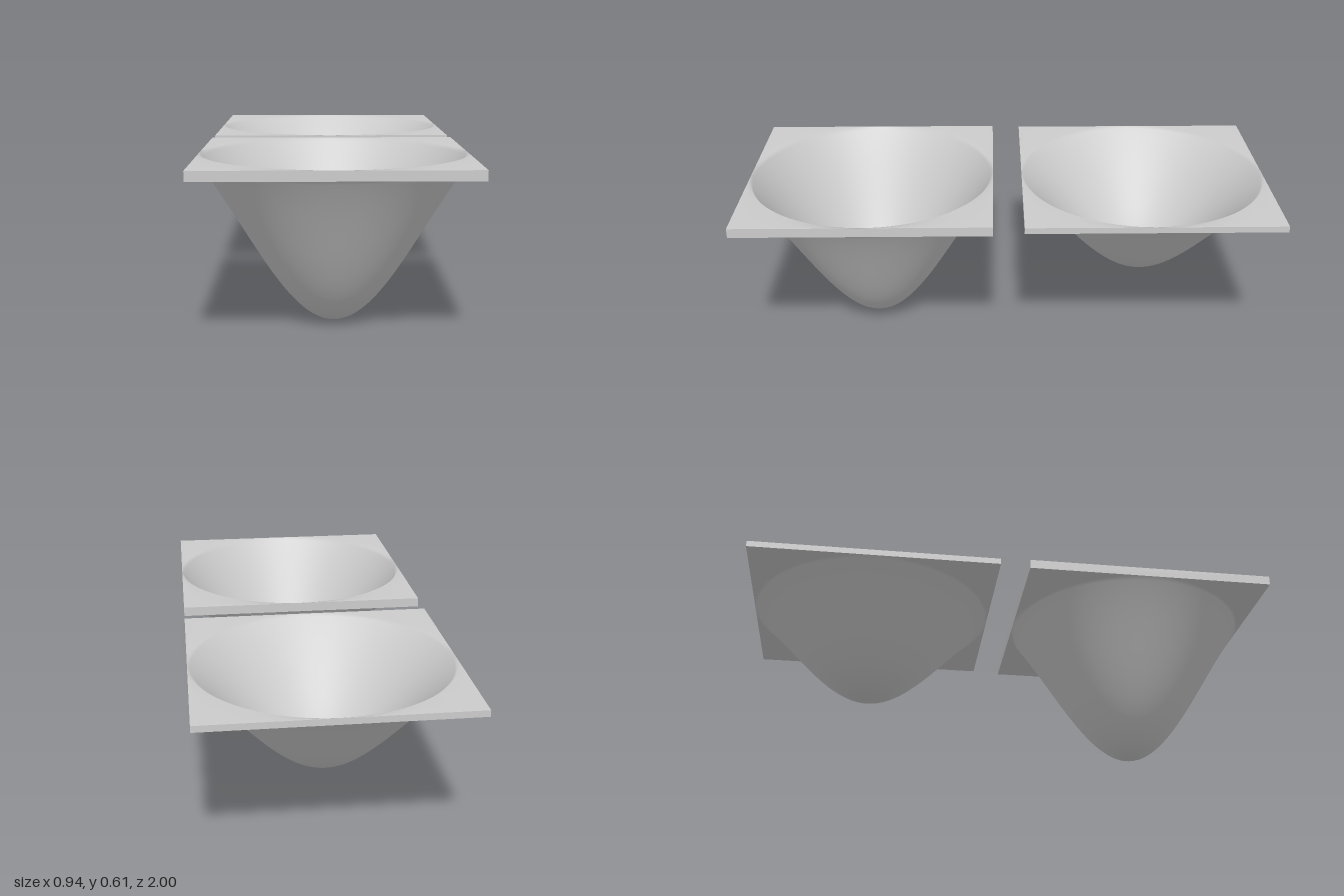
import * as THREE from 'three';

const HALF = 0.472;   // half width of a square plate
const RIM = 0.47;     // radius of the bowl mouth
const SIGMA = 0.33;   // width of the bell-shaped profile
const RINGS = 56, SEGMENTS = 128;

const bell = (r) => 1 - Math.exp(-(r * r) / (2 * SIGMA * SIGMA));

// Round bell-shaped dish whose outermost ring spreads out into a flat square
function dishSurface(depth, y0, facesUp) {
  const positions = [0, y0, 0], index = [];
  const id = (ring, s) => (ring === 0 ? 0 : 1 + (ring - 1) * SEGMENTS + (s % SEGMENTS));
  for (let ring = 1; ring <= RINGS + 1; ring++) {
    for (let s = 0; s < SEGMENTS; s++) {
      const a = (s / SEGMENTS) * Math.PI * 2, c = Math.cos(a), d = Math.sin(a);
      const onSquare = ring > RINGS;
      const r = onSquare ? HALF / Math.max(Math.abs(c), Math.abs(d)) : (RIM * ring) / RINGS;
      const y = y0 + depth * (bell(Math.min(r, RIM)) / bell(RIM));
      positions.push(r * c, y, r * d);
    }
  }
  const face = (a, b, c) => index.push(...(facesUp ? [a, b, c] : [a, c, b]));
  for (let ring = 0; ring <= RINGS; ring++) {
    for (let s = 0; s < SEGMENTS; s++) {
      const a = id(ring, s), b = id(ring, s + 1);
      const c = id(ring + 1, s), d = id(ring + 1, s + 1);
      face(a, d, c);
      if (ring > 0) face(a, b, d);
    }
  }
  const geometry = new THREE.BufferGeometry();
  geometry.setAttribute('position', new THREE.Float32BufferAttribute(positions, 3));
  geometry.setIndex(index);
  geometry.computeVertexNormals();
  return geometry;
}

// One sheet: hollow upper surface, bulging underside and thin square edge
function createDish(name, bottom, depth, thickness) {
  const smooth = new THREE.MeshStandardMaterial({ color: 0xcccccc });
  const flat = new THREE.MeshStandardMaterial({ color: 0xcccccc, flatShading: true });
  const group = new THREE.Group();
  group.name = name;
  const add = (part, geometry, material) => {
    const mesh = new THREE.Mesh(geometry, material);
    mesh.name = part;
    group.add(mesh);
    return mesh;
  };
  add('underside', dishSurface(depth, bottom, false), smooth);
  add('hollow', dishSurface(depth, bottom + thickness, true), smooth);
  const R = HALF * Math.SQRT2;
  const edge = add('plateEdge',
    new THREE.CylinderGeometry(R, R, thickness, 4, 1, true, Math.PI / 4), flat);
  edge.position.y = bottom + depth + thickness / 2;
  return group;
}

export function createModel() {
  const model = new THREE.Group();
  model.name = 'pairOfDishes';
  const deep = createDish('deepDish', 0, 0.571, 0.035);
  deep.position.z = 1 - HALF;
  const shallow = createDish('shallowDish', 0.2, 0.379, 0.023);
  shallow.position.z = HALF - 1;
  model.add(deep, shallow);
  return model;
}
